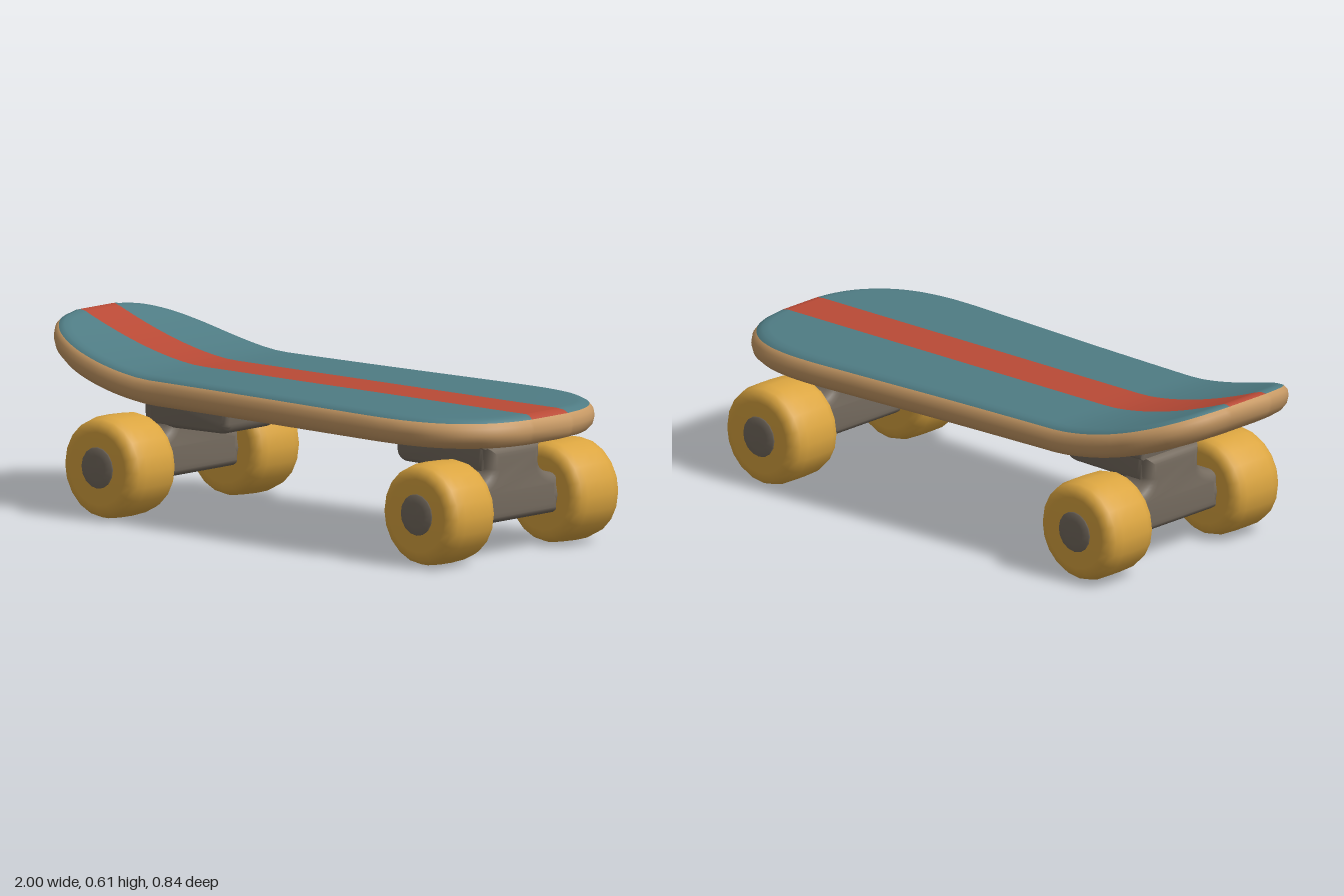
import * as THREE from 'three';
import { toCreasedNormals } from 'three/addons/utils/BufferGeometryUtils.js';

const material = (name, color) => {
  const m = new THREE.MeshStandardMaterial({ color });
  m.name = name;
  return m;
};

const WOOD = 0, TEAL = 1, RED = 2, GREY = 3;
const STRIPE = 0.08;

// Half outline of the deck: x along the board, half width beside it
const OUTLINE = [
  [-1, 0.09], [-0.97, 0.2], [-0.91, 0.275], [-0.82, 0.322], [-0.7, 0.345], [-0.4, 0.353], [0, 0.367],
  [0.4, 0.387], [0.6, 0.395], [0.7, 0.39], [0.8, 0.368], [0.88, 0.325], [0.95, 0.25], [0.985, 0.17], [1, 0.09],
];

// Edge of the deck from top to underside: inset, height, colour of the band below
const EDGE = [
  [0.05, 0.1, TEAL], [0.03, 0.097, TEAL], [0.014, 0.087, WOOD], [0.003, 0.07, WOOD], [0, 0.048, WOOD],
  [0.005, 0.025, WOOD], [0.02, 0.008, WOOD], [0.045, 0, WOOD], [0.075, 0, GREY],
];

// Underside height, with the tail kicked up
const deckHeight = (x) => 0.38 + 0.145 * Math.pow(Math.max(0, -x - 0.45) / 0.55, 1.6);

function deckGeometry() {
  const curve = new THREE.CatmullRomCurve3(OUTLINE.map(([x, w]) => new THREE.Vector3(x, 0, w)));
  const side = curve.getPoints(84);
  const N = side.length;
  const loop = [...side, ...side.slice().reverse().map((p) => new THREE.Vector3(p.x, 0, -p.z))];
  const n = loop.length;
  const positions = [];
  const faces = [[], [], [], []];
  const addPoint = (x, y, z) => positions.push(x, y, z) / 3 - 1;
  const quad = (m, a, b, c, d) => faces[m].push(a, b, c, a, c, d);

  // Rings around the rim
  const rings = EDGE.map(([inset, y]) => loop.map((p) => {
    const x = p.x * (1 - inset);
    return addPoint(x, deckHeight(x) + y, p.z * (1 - inset / 0.37));
  }));
  for (let r = 0; r < rings.length - 1; r++) {
    for (let j = 0; j < n; j++) {
      const k = (j + 1) % n;
      const isEnd = j === N - 1 || j === n - 1;
      const colour = EDGE[r][2] === TEAL && isEnd ? RED : EDGE[r][2];
      quad(colour, rings[r][j], rings[r + 1][j], rings[r + 1][k], rings[r][k]);
    }
  }

  // Top with its stripe, and the underside panel
  const cap = (ring, colours, up) => {
    const rows = side.map((_, i) => {
      const a = ring[i], b = ring[n - 1 - i];
      const [x, y, w] = positions.slice(a * 3, a * 3 + 3);
      const s = Math.min(STRIPE, w * 0.98);
      return [a, addPoint(x, y, s), addPoint(x, y, -s), b];
    });
    for (let i = 0; i < N - 1; i++) {
      for (let k = 0; k < 3; k++) {
        const q = [rows[i][k], rows[i + 1][k], rows[i + 1][k + 1], rows[i][k + 1]];
        quad(colours[k], ...(up ? q : q.reverse()));
      }
    }
  };
  cap(rings[0], [TEAL, RED, TEAL], true);
  cap(rings[rings.length - 1], [GREY, GREY, GREY], false);

  const geometry = new THREE.BufferGeometry();
  geometry.setAttribute('position', new THREE.Float32BufferAttribute(positions, 3));
  geometry.setIndex(faces.flat());
  let start = 0;
  faces.forEach((f, m) => {
    geometry.addGroup(start, f.length, m);
    start += f.length;
  });
  geometry.computeVertexNormals();
  return geometry;
}

// Solid centred on its depth, with rounded edges kept inside the shape
function roundedExtrude(shape, depth, bevel) {
  const geometry = new THREE.ExtrudeGeometry(shape, {
    depth: depth - 2 * bevel, bevelEnabled: true, bevelThickness: bevel, bevelSize: bevel,
    bevelOffset: -bevel, bevelSegments: 4, curveSegments: 8,
  });
  geometry.translate(0, 0, bevel - depth / 2);
  return toCreasedNormals(geometry, 0.7);
}

// Solid of revolution lying along z
function latheAlongZ(points, segments) {
  const geometry = new THREE.LatheGeometry(points.map(([r, z]) => new THREE.Vector2(r, z)), segments);
  return geometry.rotateX(Math.PI / 2);
}

// Mount block under the deck; it runs toward +x from the axle
function mountShape(length) {
  const s = new THREE.Shape();
  s.moveTo(-0.045, 0.39);
  s.lineTo(-0.035, 0.27);
  s.lineTo(length - 0.045, 0.275);
  s.quadraticCurveTo(length - 0.01, 0.278, length - 0.005, 0.31);
  s.lineTo(length, 0.39);
  s.closePath();
  return s;
}

// Flange where the mount meets the deck
function flangeShape(length) {
  const s = new THREE.Shape();
  s.moveTo(-0.05, 0.39);
  s.lineTo(-0.045, 0.355);
  s.lineTo(length + 0.003, 0.355);
  s.lineTo(length + 0.015, 0.39);
  s.closePath();
  return s;
}

// Hanger seen along the board: wide axle body flaring up into a neck
function hangerShape() {
  const s = new THREE.Shape();
  s.moveTo(-0.21, 0.11);
  s.lineTo(0.21, 0.11);
  s.lineTo(0.21, 0.24);
  s.quadraticCurveTo(0.125, 0.252, 0.118, 0.29);
  s.lineTo(0.122, 0.36);
  s.lineTo(-0.122, 0.36);
  s.lineTo(-0.118, 0.29);
  s.quadraticCurveTo(-0.125, 0.252, -0.21, 0.24);
  s.closePath();
  return s;
}

export function createModel() {
  const model = new THREE.Group();
  model.name = 'skateboard';
  const wood = material('wood', 0xc99b66);
  const teal = material('teal', 0x4f7c84);
  const red = material('red', 0xb94a36);
  const grey = material('grey metal', 0x756b5f);
  const gold = material('gold wheel', 0xdba540);

  const add = (parent, name, geometry, mat) => {
    const mesh = new THREE.Mesh(geometry, mat);
    mesh.name = name;
    parent.add(mesh);
    return mesh;
  };

  add(model, 'deck', deckGeometry(), [wood, teal, red, grey]);

  const wheelGeometry = latheAlongZ([
    [0, 0.193], [0.12, 0.193], [0.143, 0.197], [0.158, 0.212], [0.165, 0.235], [0.168, 0.3],
    [0.167, 0.355], [0.16, 0.385], [0.145, 0.402], [0.12, 0.409], [0, 0.409],
  ], 20);
  const axleGeometry = latheAlongZ([
    [0, -0.418], [0.04, -0.417], [0.065, -0.413], [0.07, -0.406],
    [0.07, 0.406], [0.065, 0.413], [0.04, 0.417], [0, 0.418],
  ], 16);
  const hangerGeometry = roundedExtrude(hangerShape(), 0.14, 0.035).rotateY(Math.PI / 2);

  // Two trucks facing each other, each with an axle and two wheels
  const trucks = [['tailTruck', -0.605, 0.31, 0], ['noseTruck', 0.775, 0.355, Math.PI]];
  for (const [name, x, length, turn] of trucks) {
    const truck = new THREE.Group();
    truck.name = name;
    truck.position.x = x;
    truck.rotation.y = turn;
    add(truck, 'mount', roundedExtrude(mountShape(length), 0.25, 0.025), grey);
    add(truck, 'flange', roundedExtrude(flangeShape(length), 0.28, 0.012), grey);
    add(truck, 'hanger', hangerGeometry, grey);
    add(truck, 'axle', axleGeometry, grey).position.y = 0.172;
    for (const wheelTurn of [0, Math.PI]) {
      const wheel = add(truck, 'wheel', wheelGeometry, gold);
      wheel.position.y = 0.168;
      wheel.rotation.y = wheelTurn;
    }
    model.add(truck);
  }
  return model;
}
